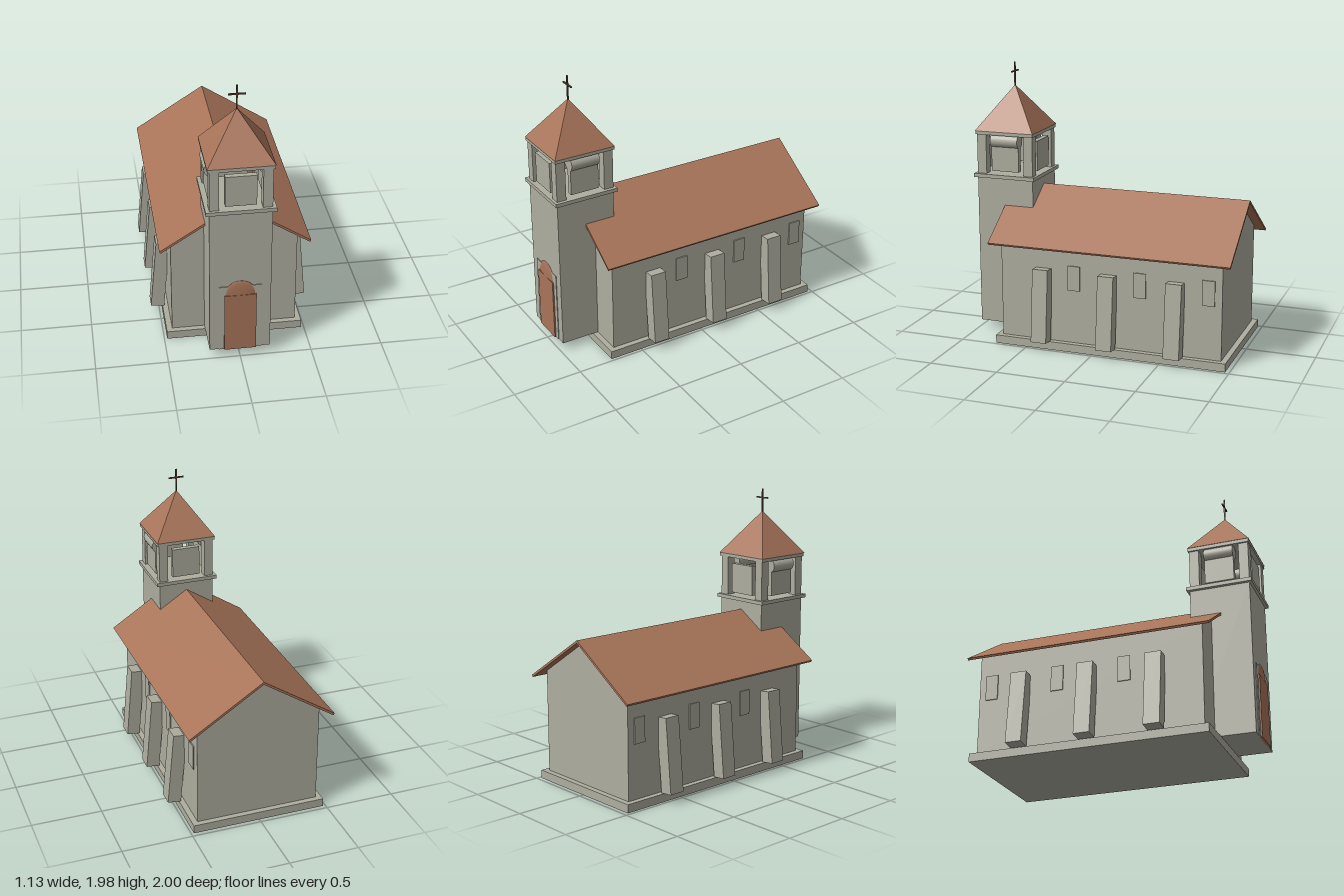
import * as THREE from 'three';

export function createModel() {
  const model = new THREE.Group();
  model.name = 'church';
  const material = (name, color) => {
    const m = new THREE.MeshStandardMaterial({ color });
    m.name = name;
    return m;
  };
  const stone = material('stone', 0xaeaea0);
  const tile = material('terracotta', 0xa87459);
  const iron = material('dark iron', 0x5e4334);

  const add = (name, geometry, mat) => {
    const mesh = new THREE.Mesh(geometry, mat);
    mesh.name = name;
    model.add(mesh);
    return mesh;
  };
  // Box given by its lower and upper limits on each axis
  const box = (name, mat, x0, x1, y0, y1, z0, z1) => {
    const mesh = add(name, new THREE.BoxGeometry(x1 - x0, y1 - y0, z1 - z0), mat);
    mesh.position.set((x0 + x1) / 2, (y0 + y1) / 2, (z0 + z1) / 2);
    return mesh;
  };
  // Outline in x and y, extruded from z0 to z1
  const prism = (name, mat, points, z0, z1) => {
    const shape = new THREE.Shape(points.map(([x, y]) => new THREE.Vector2(x, y)));
    const geometry = new THREE.ExtrudeGeometry(shape, { depth: z1 - z0, bevelEnabled: false });
    return add(name, geometry.translate(0, 0, z0), mat);
  };

  // Nave
  box('foundation', stone, -0.48, 0.48, 0, 0.06, -0.97, 0.74);
  box('naveWalls', stone, -0.44, 0.44, 0.06, 0.8, -0.93, 0.7);
  prism('gable', stone, [[-0.44, 0.8], [0.44, 0.8], [0, 1.08]], -0.93, 0.7);
  prism('naveRoof', tile, [
    [0, 1.097], [-0.522, 0.76], [-0.514, 0.746], [0, 1.078], [0.514, 0.746], [0.522, 0.76],
  ], -1, 0.77);

  // Leaning buttresses and side windows
  for (const side of [-1, 1]) {
    for (const z of [0.375, -0.113, -0.605]) {
      const buttress = add('buttress', new THREE.BoxGeometry(0.095, 0.53, 0.115), stone);
      buttress.position.set(side * 0.492, 0.332, z);
      buttress.rotation.z = side * 0.09;
      const x = side * 0.448;
      box('sideWindow', stone, x - 0.004, x + 0.004, 0.45, 0.63, z - 0.275, z - 0.185);
    }
  }

  // Tower and doorway
  const cz = 0.765;
  box('tower', stone, -0.21, 0.21, 0.06, 1.16, 0.55, 0.98);
  box('doorSurround', stone, -0.147, 0.147, 0.06, 0.58, 0.975, 0.985);
  box('door', tile, -0.11, 0.11, 0.06, 0.51, 0.975, 0.995);
  const arch = add('doorArch', new THREE.SphereGeometry(0.11, 24, 12, 0, Math.PI * 2, 0, Math.PI / 2), tile);
  arch.position.set(0, 0.51, 0.98);
  arch.scale.z = 0.12;
  box('towerLedge', stone, -0.235, 0.235, 1.16, 1.187, 0.53, 1);

  // Belfry
  for (const side of [-1, 1]) {
    for (const end of [-1, 1]) {
      const x = side * 0.177, z = cz + end * 0.18;
      box('belfryPillar', stone, x - 0.033, x + 0.033, 1.187, 1.475, z - 0.035, z + 0.035);
    }
    const z = cz + side * 0.19, x = side * 0.185;
    box('belfryEndPanel', stone, -0.105, 0.105, 1.21, 1.43, z - 0.02, z + 0.02);
    box('belfrySidePanel', stone, x - 0.02, x + 0.02, 1.21, 1.43, cz - 0.105, cz + 0.105);
    const roll = add('belfrySideRoll', new THREE.CylinderGeometry(0.05, 0.05, 0.21, 24), stone);
    roll.rotation.x = Math.PI / 2;
    roll.position.set(side * 0.18, 1.432, cz);
  }
  box('belfryTop', stone, -0.222, 0.222, 1.475, 1.5, cz - 0.222, cz + 0.222);

  // Spire and cross
  const spire = new THREE.ConeGeometry(0.225 * Math.SQRT2, 0.315, 4).rotateY(Math.PI / 4).toNonIndexed();
  spire.computeVertexNormals();
  add('spire', spire, tile).position.set(0, 1.6575, cz);
  box('crossPost', iron, -0.005, 0.005, 1.8, 1.98, cz - 0.005, cz + 0.005);
  box('crossArm', iron, -0.057, 0.057, 1.91, 1.92, cz - 0.005, cz + 0.005);

  return model;
}
